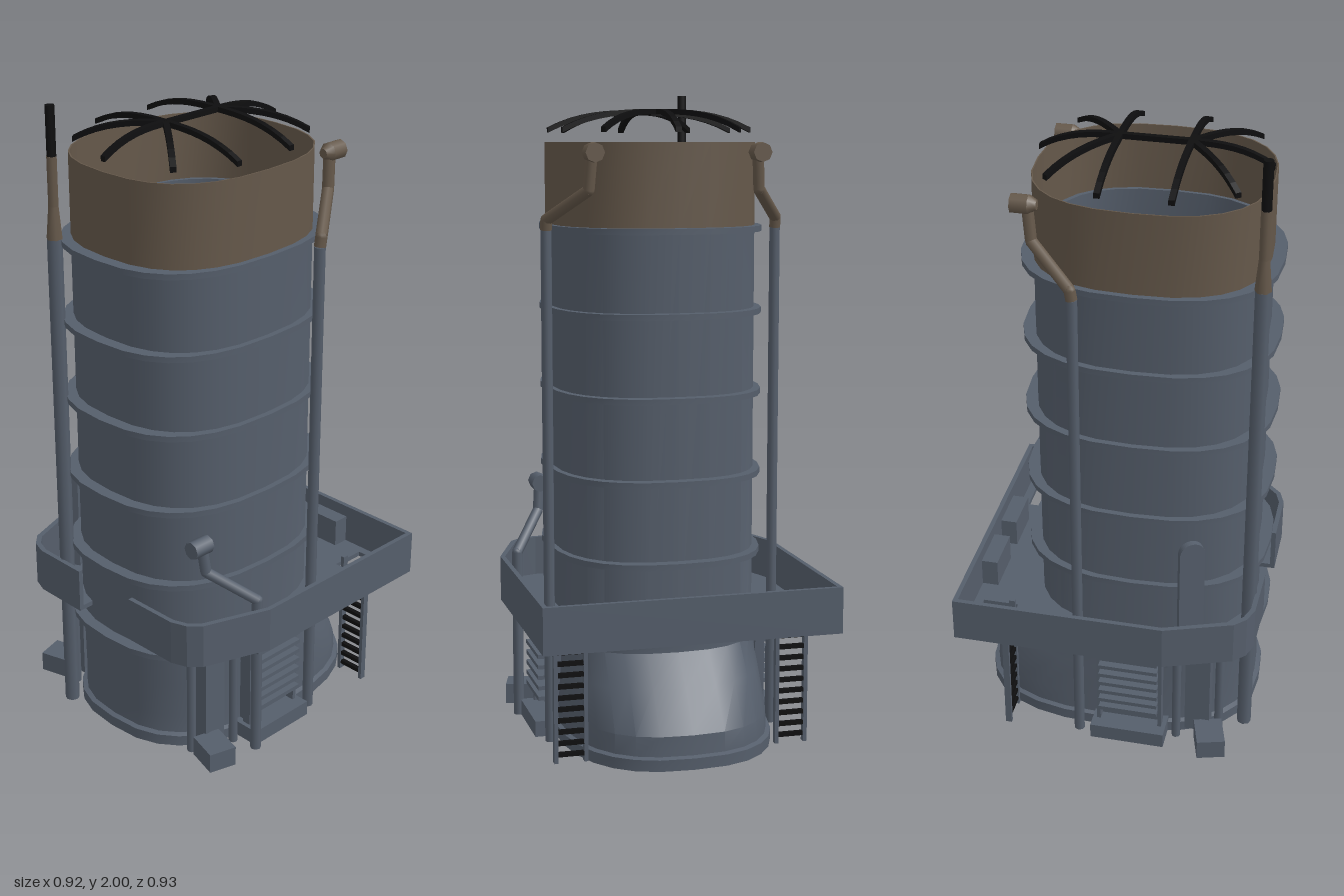
import * as THREE from 'three';
import { toCreasedNormals } from 'three/addons/utils/BufferGeometryUtils.js';

export function createModel() {
  const model = new THREE.Group();
  const mat = (name, color) => {
    const m = new THREE.MeshStandardMaterial({ color });
    m.name = name;
    return m;
  };
  const grey = mat('blue grey paint', 0x555e6b);
  const brown = mat('brown paint', 0x65584a);
  const black = mat('black paint', 0x0e0e0f);

  const add = (name, geo, material, x = 0, y = 0, z = 0) => {
    const mesh = new THREE.Mesh(geo, material);
    mesh.name = name;
    mesh.position.set(x, y, z);
    model.add(mesh);
    return mesh;
  };
  const box = (name, w, h, d, x, y, z, m = grey) =>
    add(name, new THREE.BoxGeometry(w, h, d), m, x, y, z);

  // Squarish oval plan: half width, front z, back z
  const SIDES = 28, POWER = 2 / 2.6;
  const bulge = (v) => Math.sign(v) * Math.abs(v) ** POWER;
  const plan = (y, hw, zf, zb) => {
    const pts = [];
    for (let i = 0; i < SIDES; i++) {
      const a = (2 * Math.PI * i) / SIDES;
      pts.push(hw * bulge(Math.sin(a)), y, (zf + zb) / 2 + ((zf - zb) / 2) * bulge(Math.cos(a)));
    }
    return pts;
  };
  // Skin through stacked plans
  const loft = (sections) => {
    const pos = [], idx = [];
    sections.forEach((s) => pos.push(...plan(...s)));
    for (let i = 0; i < sections.length - 1; i++)
      for (let j = 0; j < SIDES; j++) {
        const a = i * SIDES + j, b = i * SIDES + ((j + 1) % SIDES);
        idx.push(a, b, b + SIDES, a, b + SIDES, a + SIDES);
      }
    const g = new THREE.BufferGeometry();
    g.setAttribute('position', new THREE.Float32BufferAttribute(pos, 3));
    g.setIndex(idx);
    return toCreasedNormals(g, 0.5);
  };

  // Funnel casing with a flared rear skirt, hollow underneath
  const outer = [0.312, 0.425, -0.277], lip = [0.308, 0.421, -0.273], inner = [0.297, 0.407, -0.259];
  add('funnelCasing', loft([
    [0.3, 0.001, 0.075, 0.073], [0.3, 0.295, 0.405, -0.28], [0.1, 0.3, 0.41, -0.42],
    [0.03, 0.3, 0.41, -0.425], [0.03, 0.318, 0.425, -0.44], [0, 0.318, 0.425, -0.44],
    [0, 0.335, 0.445, -0.46], [0.035, 0.335, 0.445, -0.46], [0.04, 0.322, 0.43, -0.445],
    [0.1, 0.32, 0.428, -0.44], [0.22, 0.315, 0.426, -0.355], [0.31, ...outer], [1.59, ...outer],
  ]), grey);
  add('funnelTop', loft([[1.59, ...outer], [1.85, ...outer], [1.85, ...lip], [1.64, ...lip]]), brown);
  add('innerUptake', loft([
    [1.64, ...lip], [1.64, ...inner], [1.5, ...inner], [1.5, 0.001, 0.075, 0.073],
  ]), grey);
  for (let i = 0; i < 6; i++) {
    const y = 0.335 + i * 0.251;
    add('stiffeningRing', loft([
      [y - 0.009, 0.3, 0.41, -0.265], [y - 0.009, 0.33, 0.463, -0.315],
      [y + 0.009, 0.33, 0.463, -0.315], [y + 0.009, 0.3, 0.41, -0.265],
    ]), grey);
  }

  // Arched cage over the mouth, each bar a bent flat strip
  const cageBar = (z0, x1, dz) => {
    const top = [], bottom = [];
    const length = Math.hypot(x1, dz);
    for (let i = 0; i <= 8; i++) {
      const t = i / 8, y = 1.949 - 0.055 * t ** 2.8;
      top.push(new THREE.Vector2(length * t, y));
      bottom.unshift(new THREE.Vector2(length * t, y - 0.016));
    }
    const strip = new THREE.ExtrudeGeometry(new THREE.Shape([...bottom, ...top]), { depth: 0.018, bevelEnabled: false });
    strip.translate(0, 0, -0.009);
    add('cageBar', strip, black, 0, 0, z0).rotation.y = Math.atan2(-dz, x1);
  };
  for (const [z, dir] of [[-0.03, -1], [0.18, 1]]) {
    cageBar(z, 0, dir * 0.24);
    for (const s of [-1, 1]) {
      cageBar(z, s * 0.297, 0);
      cageBar(z, s * 0.21, dir * 0.17);
    }
  }
  box('cageSpine', 0.018, 0.016, 0.22, 0, 1.941, 0.075, black);

  // Platform: deck with ladder openings and a parapet open at the front
  const rim = [[0.115, 0.465], [0.3, 0.463], [0.35, 0.445], [0.385, 0.41], [0.46, 0.2], [0.46, -0.468]];
  const rimIn = [[0.115, 0.45], [0.295, 0.448], [0.34, 0.432], [0.37, 0.402], [0.445, 0.197], [0.445, -0.453]];
  const vec = (p) => p.map(([x, z]) => new THREE.Vector2(x, -z));
  const mirror = (p) => p.map(([x, z]) => [-x, z]).reverse();
  const slab = (shape, depth) =>
    new THREE.ExtrudeGeometry(shape, { depth, bevelEnabled: false }).rotateX(-Math.PI / 2);
  const deck = new THREE.Shape(vec([[0.115, 0.4], ...rim, ...mirror(rim), [-0.115, 0.4]]));
  for (const s of [-1, 1])
    deck.holes.push(new THREE.Path(vec([
      [s * 0.275, -0.425], [s * 0.415, -0.425], [s * 0.415, -0.31], [s * 0.275, -0.31],
    ])));
  add('platformDeck', slab(deck, 0.015), grey, 0, 0.387, 0);
  const wall = new THREE.Shape(vec([...rim, ...mirror(rim), ...mirror(rimIn).reverse(), ...[...rimIn].reverse()]));
  add('platformParapet', slab(wall, 0.143), grey, 0, 0.387, 0);
  for (const s of [-1, 1]) box('deckLocker', 0.15, 0.09, 0.055, s * 0.115, 0.447, -0.428);

  // Pipes
  const rod = (name, a, b, r0, r1, m, sides = 8) => {
    const p = new THREE.Vector3(...a), q = new THREE.Vector3(...b), d = q.clone().sub(p);
    const mesh = add(name, new THREE.CylinderGeometry(r1, r0, d.length(), sides), m);
    mesh.position.copy(p).addScaledVector(d, 0.5);
    mesh.quaternion.setFromUnitVectors(new THREE.Vector3(0, 1, 0), d.normalize());
  };
  const pipe = (name, pts, r, m) => {
    for (let i = 1; i < pts.length; i++) {
      rod(name, pts[i - 1], pts[i], r, r, m);
      if (i < pts.length - 1) add(name + 'Elbow', new THREE.SphereGeometry(r, 8, 6), m, ...pts[i]);
    }
  };
  for (const s of [-1, 1]) {
    rod('exhaustPipe', [s * 0.361, 0, -0.09], [s * 0.361, 1.59, -0.09], 0.017, 0.017, grey);
    pipe('exhaustOutlet', [
      [s * 0.361, 1.59, -0.09], [s * 0.361, 1.62, -0.095], [s * 0.262, 1.71, -0.23], [s * 0.255, 1.81, -0.24],
    ], 0.018, brown);
    rod('exhaustCowl', [s * 0.255, 1.82, -0.235], [s * 0.255, 1.82, -0.287], 0.029, 0.029, brown);
    rod('exhaustCowlBack', [s * 0.255, 1.82, -0.212], [s * 0.255, 1.82, -0.235], 0.015, 0.029, brown);
  }
  pipe('ventPipe', [[0.405, 0, 0.2], [0.405, 0.54, 0.2], [0.31, 0.65, 0.325], [0.303, 0.735, 0.335]], 0.017, grey);
  rod('ventCowl', [0.303, 0.74, 0.31], [0.303, 0.74, 0.38], 0.028, 0.028, grey);

  // Mast pipe
  rod('mastPipe', [-0.212, 0, 0.43], [-0.212, 1.6, 0.43], 0.023, 0.023, grey);
  rod('mastTaper', [-0.212, 1.6, 0.43], [-0.212, 1.7, 0.43], 0.025, 0.016, brown, 6);
  rod('mastNeck', [-0.212, 1.7, 0.43], [-0.212, 1.85, 0.43], 0.016, 0.016, brown, 6);
  rod('mastTip', [-0.212, 1.85, 0.43], [-0.212, 2, 0.43], 0.015, 0.015, black, 6);

  // Round-topped plate against the casing
  const tab = new THREE.Shape();
  tab.moveTo(-0.04, 0);
  tab.lineTo(0.04, 0);
  tab.lineTo(0.04, 0.36);
  tab.absarc(0, 0.36, 0.04, 0, Math.PI, false);
  const plate = add('sidePlate', new THREE.ExtrudeGeometry(tab, { depth: 0.02, bevelEnabled: false }), grey, -0.347, 0.385, 0.27);
  plate.rotation.y = Math.PI / 2 + 0.5;

  // Under-platform fittings on both sides
  for (const s of [-1, 1]) {
    // rear ladders
    for (const x of [0.302, 0.394]) box('ladderRail', 0.012, 0.43, 0.02, s * x, 0.225, -0.32);
    for (let i = 0; i < 11; i++)
      box('ladderRung', 0.085, 0.013, 0.014, s * 0.348, 0.035 + i * 0.035, -0.32, black);
    // open slatted intake
    box('slatBacking', 0.03, 0.36, 0.19, s * 0.315, 0.2, 0.075);
    for (const z of [-0.025, 0.175]) box('slatPost', 0.03, 0.36, 0.012, s * 0.345, 0.21, z);
    for (let i = 0; i < 7; i++)
      box('slat', 0.055, 0.013, 0.19, s * 0.357, 0.115 + i * 0.034, 0.075);
    box('slatPlinth', 0.1, 0.05, 0.24, s * 0.35, 0.025, 0.075);
    // corner box and supports
    box('cornerBox', 0.11, 0.065, 0.09, s * 0.362, 0.034, 0.34).rotation.y = -s * 0.28;
    box('supportLocker', 0.05, 0.36, 0.08, s * 0.29, 0.2, 0.29);
    rod('supportPost', [s * 0.275, 0, 0.355], [s * 0.275, 0.39, 0.355], 0.014, 0.014, grey);
    rod('supportPost', [s * 0.33, 0, 0.225], [s * 0.33, 0.39, 0.225], 0.014, 0.014, grey);
    box('deckBeam', 0.1, 0.03, 0.025, s * 0.375, 0.373, 0.2);
  }
  return model;
}
